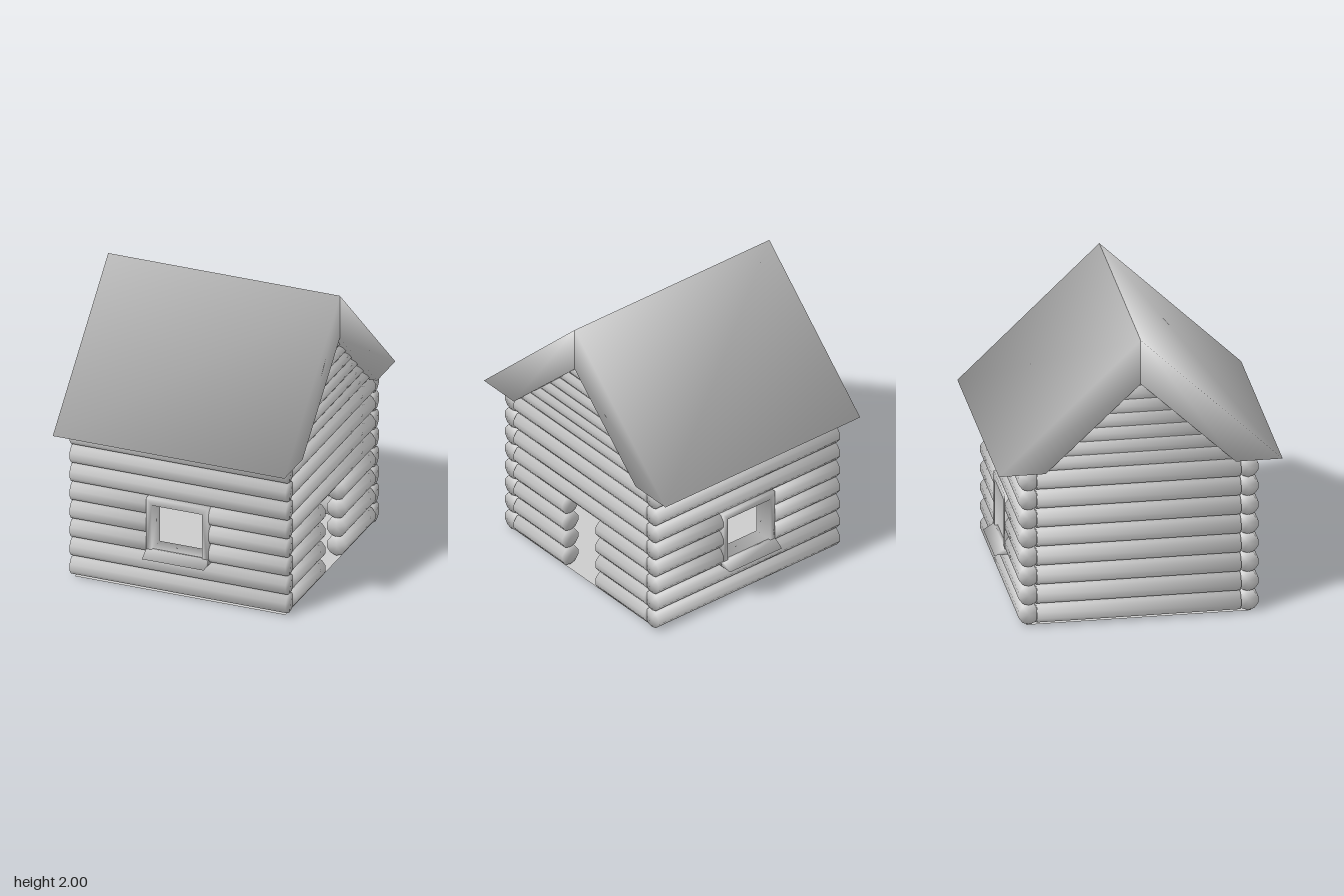
import * as THREE from 'three';
import { mergeVertices } from 'three/addons/utils/BufferGeometryUtils.js';

const material = new THREE.MeshStandardMaterial({ color: 0xcccccc });
const twoSided = new THREE.MeshStandardMaterial({ color: 0xcccccc, side: THREE.DoubleSide });

const ROWS = 8, PITCH = 0.135, RADIUS = 0.07, FIRST = 0.081;
const EAVE = 1.095;

// Weld corners and give each one the angle-weighted mean of its faces' normals
function smooth(source) {
  source.deleteAttribute('normal');
  source.deleteAttribute('uv');
  const g = mergeVertices(source, 1e-4);
  const pos = g.attributes.position;
  const point = (i) => new THREE.Vector3().fromBufferAttribute(pos, i);
  const normals = Array.from({ length: pos.count }, () => new THREE.Vector3());
  const ids = g.index.array;
  for (let t = 0; t < ids.length; t += 3) {
    for (let k = 0; k < 3; k++) {
      const i = ids[t + k];
      const p = point(i);
      const u = point(ids[t + (k + 1) % 3]).sub(p);
      const v = point(ids[t + (k + 2) % 3]).sub(p);
      const n = u.clone().cross(v);
      if (n.length() > 1e-9) normals[i].addScaledVector(n.normalize(), u.angleTo(v));
    }
  }
  const flat = normals.flatMap((n) => n.normalize().toArray());
  g.setAttribute('normal', new THREE.Float32BufferAttribute(flat, 3));
  return g;
}

function add(parent, name, geometry, mat = material) {
  const mesh = new THREE.Mesh(geometry, mat);
  mesh.name = name;
  parent.add(mesh);
}

// A ten-sided log lying along 'x' or 'z' from a to b, at height y and offset d on the other axis
function log(parent, name, axis, a, b, y, d, r = RADIUS) {
  const start = axis === 'x' ? Math.PI / 2 : 0;
  const g = new THREE.CylinderGeometry(r, r, b - a, 10, 1, false, start);
  const mid = (a + b) / 2;
  if (axis === 'x') g.rotateZ(Math.PI / 2).translate(mid, y, d);
  else g.rotateX(Math.PI / 2).translate(d, y, mid);
  add(parent, name, smooth(g));
}

// A stack of logs, with rows from..to interrupted by an opening [lo, hi]
function wall(name, axis, a, b, d, opening) {
  const group = new THREE.Group();
  group.name = name;
  for (let i = 0; i < ROWS; i++) {
    const y = FIRST + i * PITCH;
    const cut = opening && i >= opening.from && i <= opening.to;
    const spans = cut ? [[a, opening.lo], [opening.hi, b]] : [[a, b]];
    for (const [from, to] of spans) log(group, 'log', axis, from, to, y, d);
  }
  return group;
}

// Gable logs, shortening upwards with their ends buried in the roof
function gable(name, x) {
  const group = new THREE.Group();
  group.name = name;
  for (let i = 0; i < 7; i++) {
    const y = 1.142 + i * 0.094;
    const half = Math.max(0, 1.69 - y) * 1.06 + 0.07;
    log(group, 'gableLog', 'z', -half, half, y, x, 0.06);
  }
  return group;
}

function polygon(points) {
  return new THREE.Shape(points.map(([x, y]) => new THREE.Vector2(x, y)));
}

function extrude(shape, depth) {
  return new THREE.ExtrudeGeometry(shape, { depth, bevelEnabled: false });
}

// A (z, y) profile extruded sideways, centred on x = 0
function sideways(points, width) {
  const shape = polygon(points.map(([z, y]) => [-z, y]));
  return extrude(shape, width).translate(0, 0, -width / 2).rotateY(Math.PI / 2);
}

// Square frame with a wedge-shaped sill, facing +z
function windowFrame(name) {
  const group = new THREE.Group();
  group.name = name;
  const outer = polygon([[-0.218, 0.28], [0.218, 0.28], [0.218, 0.695], [-0.218, 0.695]]);
  outer.holes.push(polygon([[-0.178, 0.323], [-0.178, 0.647], [0.178, 0.647], [0.178, 0.323]]));
  add(group, 'windowFrame', smooth(extrude(outer, 0.145).translate(0, 0, 0.655)));
  const sill = [[0.78, 0.28], [0.78, 0.325], [0.8, 0.325], [0.87, 0.28]];
  add(group, 'windowSill', smooth(sideways(sill, 0.436)));
  return group;
}

export function createModel() {
  const model = new THREE.Group();
  model.name = 'logCabin';

  // Floor
  add(model, 'floor', new THREE.PlaneGeometry(1.49, 1.49).rotateX(-Math.PI / 2), twoSided);

  // Walls: windows front and back, doorway on the left side
  const windowGap = { from: 2, to: 4, lo: -0.21, hi: 0.21 };
  const doorGap = { from: 0, to: 3, lo: -0.175, hi: 0.165 };
  model.add(wall('frontWall', 'x', -0.765, 0.765, 0.722, windowGap));
  model.add(wall('backWall', 'x', -0.765, 0.765, -0.732, windowGap));
  model.add(wall('leftWall', 'z', -0.68, 0.67, 0.722, doorGap));
  model.add(wall('rightWall', 'z', -0.68, 0.67, -0.732));
  model.add(gable('leftGable', 0.722), gable('rightGable', -0.732));

  const back = windowFrame('backWindow');
  back.rotation.y = Math.PI;
  model.add(windowFrame('frontWindow'), back);

  // Roof: two thick slopes meeting at the ridge, with level eaves
  for (const [name, s] of [['frontRoof', 1], ['backRoof', -1]]) {
    const slope = [[0, 1.69], [s * 0.63, EAVE], [s * 0.94, EAVE], [0, 2]];
    add(model, name, smooth(sideways(slope, 1.64)));
  }

  return model;
}
